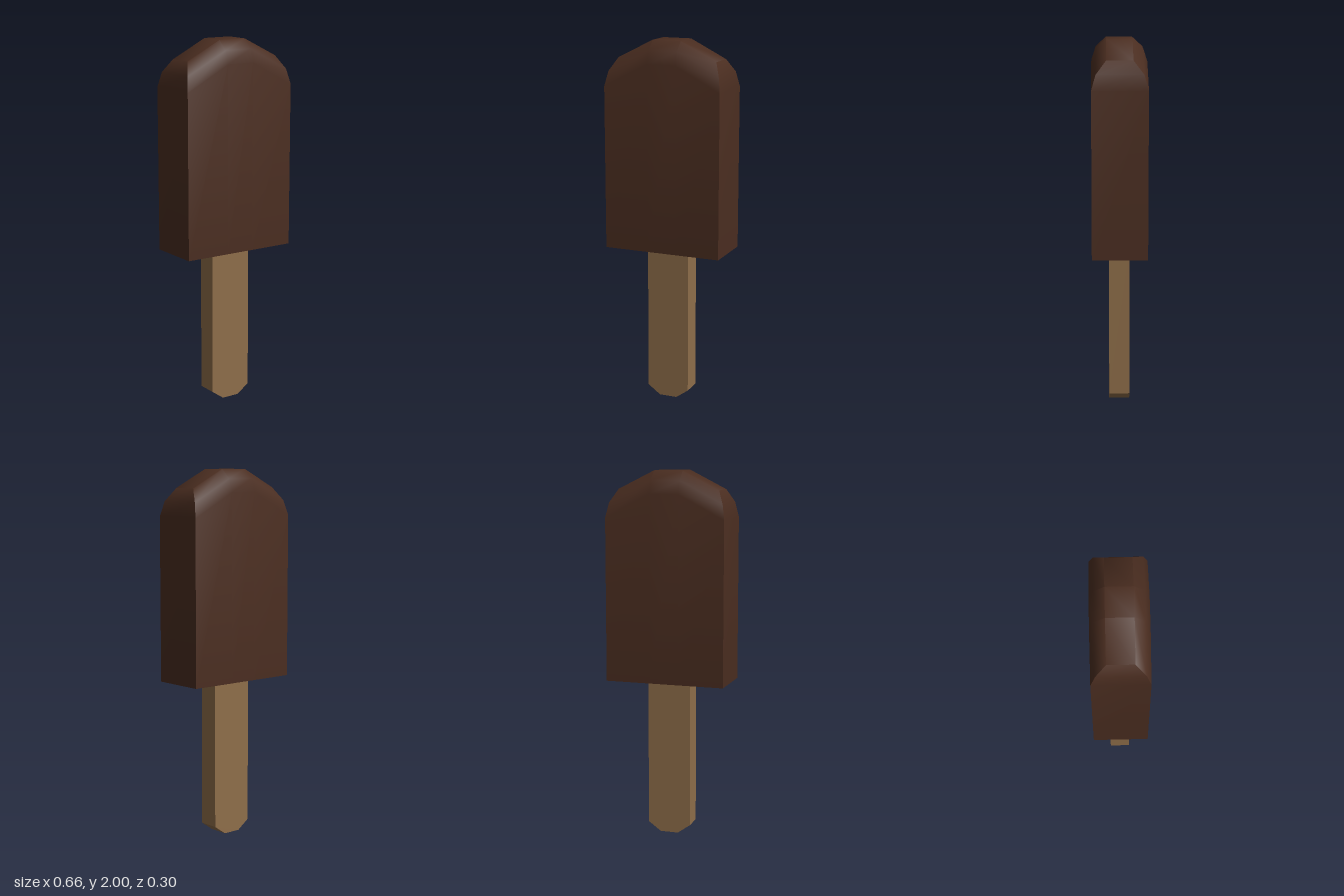
import * as THREE from 'three';
import { toCreasedNormals } from 'three/addons/utils/BufferGeometryUtils.js';

// Each level: corner x, corner y, middle y, half depth
const LEVELS = [
  [0.33, 0.86, 0.86, 0.148],
  [0.33, 1.75, 1.88, 0.148],
  [0.315, 1.83, 1.95, 0.125],
  [0.28, 1.90, 2.0, 0.07],
];
const MID_X = 0.08;

// Loft eight-cornered rings upward, then close both ends with strips
function coatingGeometry() {
  const positions = [];
  const index = [];
  for (const [x, yCorner, yMid, z] of LEVELS) {
    const row = [[-x, yCorner], [-MID_X, yMid], [MID_X, yMid], [x, yCorner]];
    for (const [px, py] of row) positions.push(px, py, z);
    for (const [px, py] of row.reverse()) positions.push(px, py, -z);
  }
  const quad = (a, b, c, d) => index.push(a, b, c, a, c, d);
  for (let i = 0; i < LEVELS.length - 1; i++) {
    for (let j = 0; j < 8; j++) {
      const k = (j + 1) % 8;
      quad(i * 8 + j, i * 8 + k, i * 8 + 8 + k, i * 8 + 8 + j);
    }
  }
  const top = (LEVELS.length - 1) * 8;
  for (let k = 0; k < 3; k++) {
    quad(top + k, top + k + 1, top + 6 - k, top + 7 - k);
    quad(7 - k, 6 - k, k + 1, k);
  }
  const geometry = new THREE.BufferGeometry();
  geometry.setAttribute('position', new THREE.Float32BufferAttribute(positions, 3));
  geometry.setIndex(index);
  return toCreasedNormals(geometry, 0.8);
}

// Flat stick with a chamfered lower end, running just into the coating
function stickGeometry() {
  const shape = new THREE.Shape([
    [-0.05, 0], [0.05, 0], [0.12, 0.05], [0.12, 0.88], [-0.12, 0.88], [-0.12, 0.05],
  ].map(([x, y]) => new THREE.Vector2(x, y)));
  const depth = 0.112;
  return new THREE.ExtrudeGeometry(shape, { depth, bevelEnabled: false }).translate(0, 0, -depth / 2);
}

export function createModel() {
  const group = new THREE.Group();
  group.name = 'iceCreamBar';
  const add = (name, geometry, color) => {
    const mesh = new THREE.Mesh(geometry, new THREE.MeshStandardMaterial({ color }));
    mesh.name = name;
    group.add(mesh);
  };
  add('chocolateCoating', coatingGeometry(), 0x4a2d20);
  add('stick', stickGeometry(), 0x8f6e4a);
  return group;
}
